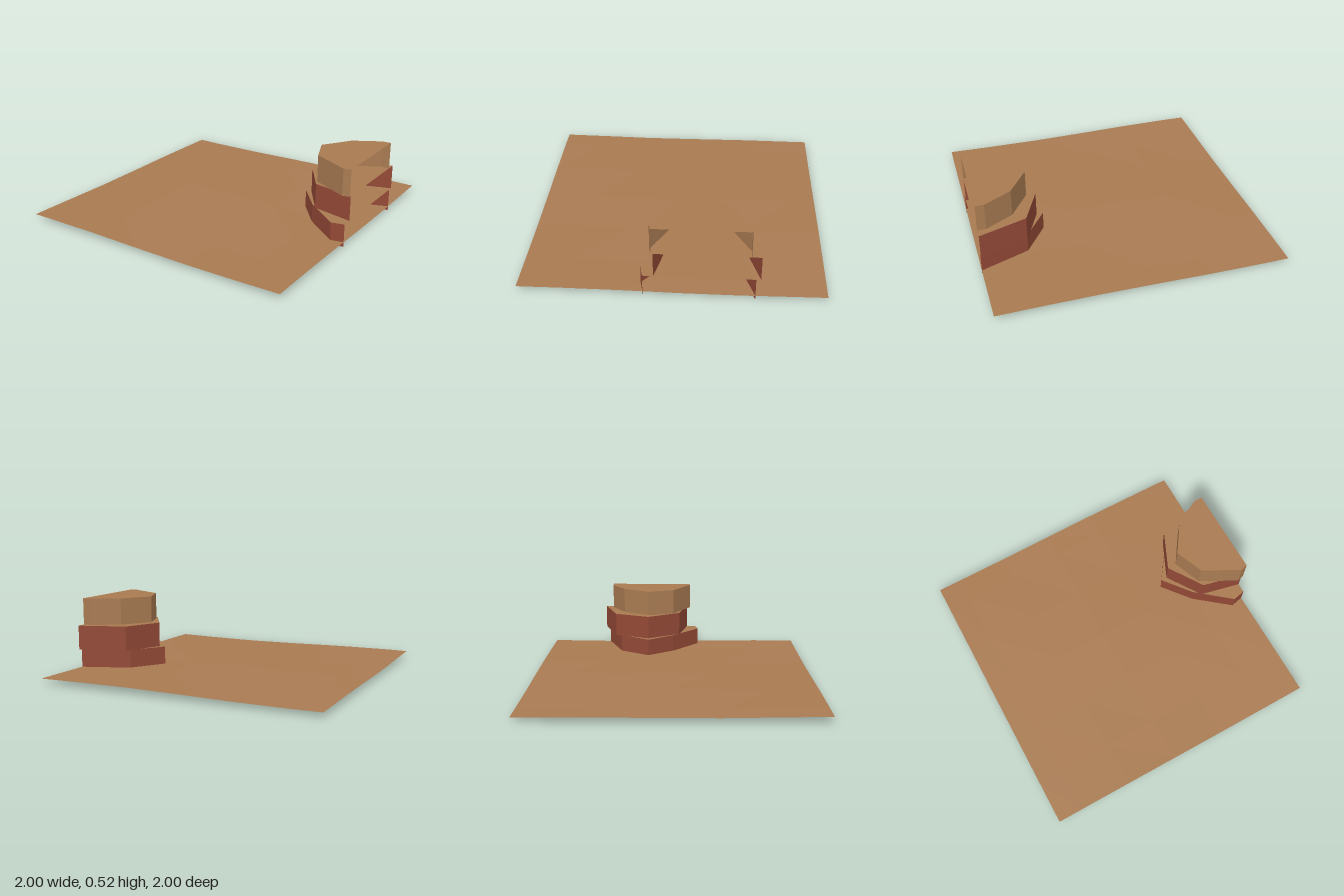
import * as THREE from 'three';

const flat = (name, color) => new THREE.MeshStandardMaterial({
  name, color, flatShading: true, side: THREE.DoubleSide,
});

// Open wall along a path of [x, z] points, facing outward
function wallGeometry(path, y0, y1) {
  const pos = [];
  for (let i = 0; i < path.length - 1; i++) {
    const [ax, az] = path[i], [bx, bz] = path[i + 1];
    pos.push(ax, y0, az, bx, y0, bz, bx, y1, bz);
    pos.push(ax, y0, az, bx, y1, bz, ax, y1, az);
  }
  const g = new THREE.BufferGeometry();
  g.setAttribute('position', new THREE.Float32BufferAttribute(pos, 3));
  g.computeVertexNormals();
  return g;
}

// Flat cap over the same path
function capGeometry(path, y) {
  const shape = new THREE.Shape(path.map(([x, z]) => new THREE.Vector2(x, -z)));
  return new THREE.ShapeGeometry(shape).rotateX(-Math.PI / 2).translate(0, y, 0);
}

// Gently rolling ground sheet on an uneven grid
function groundGeometry() {
  const lines = [-1, -0.83, -0.45, -0.07, 0.31, 0.69, 1];
  const snap = (v) => lines[Math.round((v + 1) * 3)];
  const g = new THREE.PlaneGeometry(2, 2, 6, 6).rotateX(-Math.PI / 2).rotateY(Math.PI / 2);
  const p = g.attributes.position;
  for (let i = 0; i < p.count; i++) {
    const x = snap(p.getX(i)), z = snap(p.getZ(i));
    const y = 0.035 + 0.005 * Math.sin(3.1 * x + 1.5 * z + 2.2) + 0.003 * Math.cos(4.3 * z - 2 * x);
    p.setXYZ(i, x, y, z);
  }
  g.computeVertexNormals();
  return g;
}

export function createModel() {
  const group = new THREE.Group();
  const sand = flat('sand', 0xa97b52);
  const redRock = flat('redRock', 0x934936);

  const add = (name, geometry, material, parent = group) => {
    const mesh = new THREE.Mesh(geometry, material);
    mesh.name = name;
    parent.add(mesh);
  };

  add('ground', groundGeometry(), sand);

  // Stepped mesa, cut open along the tile edge; paths run from back to front
  const tiers = [
    { name: 'lowerTier', y0: 0, y1: 0.16, wall: redRock,
      path: [[1, -0.54], [0.663, -0.42], [0.505, -0.2], [0.665, 0], [0.91, 0.2], [1, 0.18]] },
    { name: 'middleTier', y0: 0.16, y1: 0.335, wall: redRock,
      path: [[1, -0.57], [0.67, -0.465], [0.55, -0.2], [0.71, 0.045], [1, 0.11]] },
    { name: 'upperTier', y0: 0.335, y1: 0.525, wall: sand,
      path: [[1, -0.505], [0.94, -0.505], [0.75, -0.4], [0.615, -0.2], [0.695, 0], [0.95, 0.135], [1, 0.122]] },
  ];
  for (const t of tiers) {
    const tier = new THREE.Group();
    tier.name = t.name;
    add(t.name + 'Wall', wallGeometry(t.path, t.y0, t.y1), t.wall, tier);
    add(t.name + 'Top', capGeometry(t.path, t.y1), sand, tier);
    group.add(tier);
  }
  return group;
}
